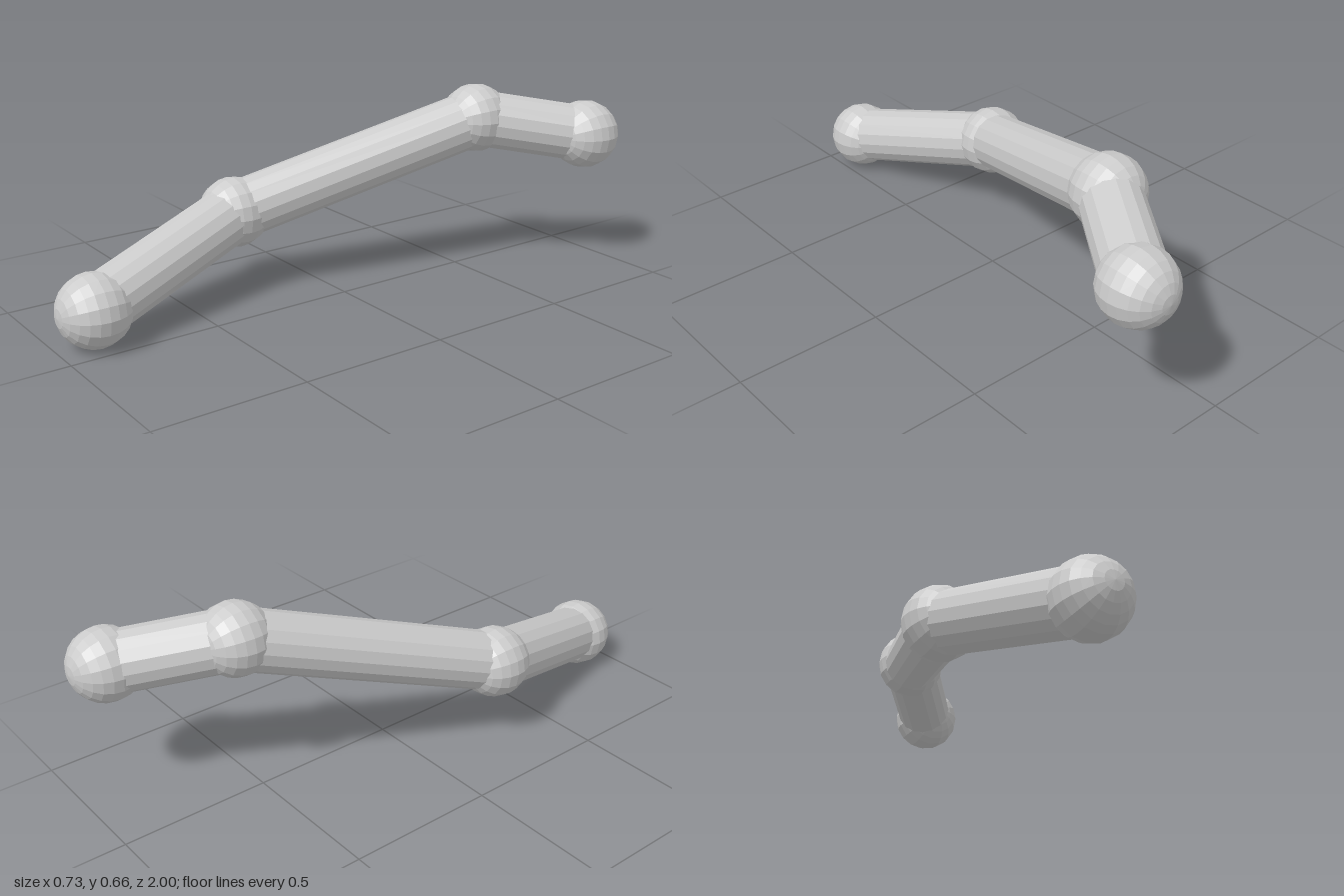
import * as THREE from 'three';

const BALL_RADIUS = 0.12;
const TUBE_RADIUS = 0.1;

// Joint centres, from the front end to the back end
const joints = [
  new THREE.Vector3(-0.083, 0.12, 0.88),
  new THREE.Vector3(-0.243, 0.279, 0.283),
  new THREE.Vector3(0.027, 0.54, -0.552),
  new THREE.Vector3(0.243, 0.476, -0.88),
];

export function createModel() {
  const group = new THREE.Group();
  group.name = 'jointedRod';
  const material = new THREE.MeshStandardMaterial({ color: 0xcccccc, flatShading: true });

  // Faceted balls with their poles along z
  const ballGeometry = new THREE.SphereGeometry(BALL_RADIUS, 16, 12).rotateX(Math.PI / 2);
  const ballNames = ['frontEndBall', 'frontJoint', 'backJoint', 'backEndBall'];
  joints.forEach((centre, i) => {
    const ball = new THREE.Mesh(ballGeometry, material);
    ball.name = ballNames[i];
    ball.position.copy(centre);
    group.add(ball);
  });

  // Straight tubes from each joint to the next
  const tubeNames = ['frontTube', 'middleTube', 'backTube'];
  tubeNames.forEach((name, i) => {
    const from = joints[i], to = joints[i + 1];
    const length = from.distanceTo(to);
    const geometry = new THREE.CylinderGeometry(TUBE_RADIUS, TUBE_RADIUS, length, 16).rotateX(Math.PI / 2);
    const tube = new THREE.Mesh(geometry, material);
    tube.name = name;
    tube.position.lerpVectors(from, to, 0.5);
    tube.lookAt(to);
    group.add(tube);
  });

  return group;
}
